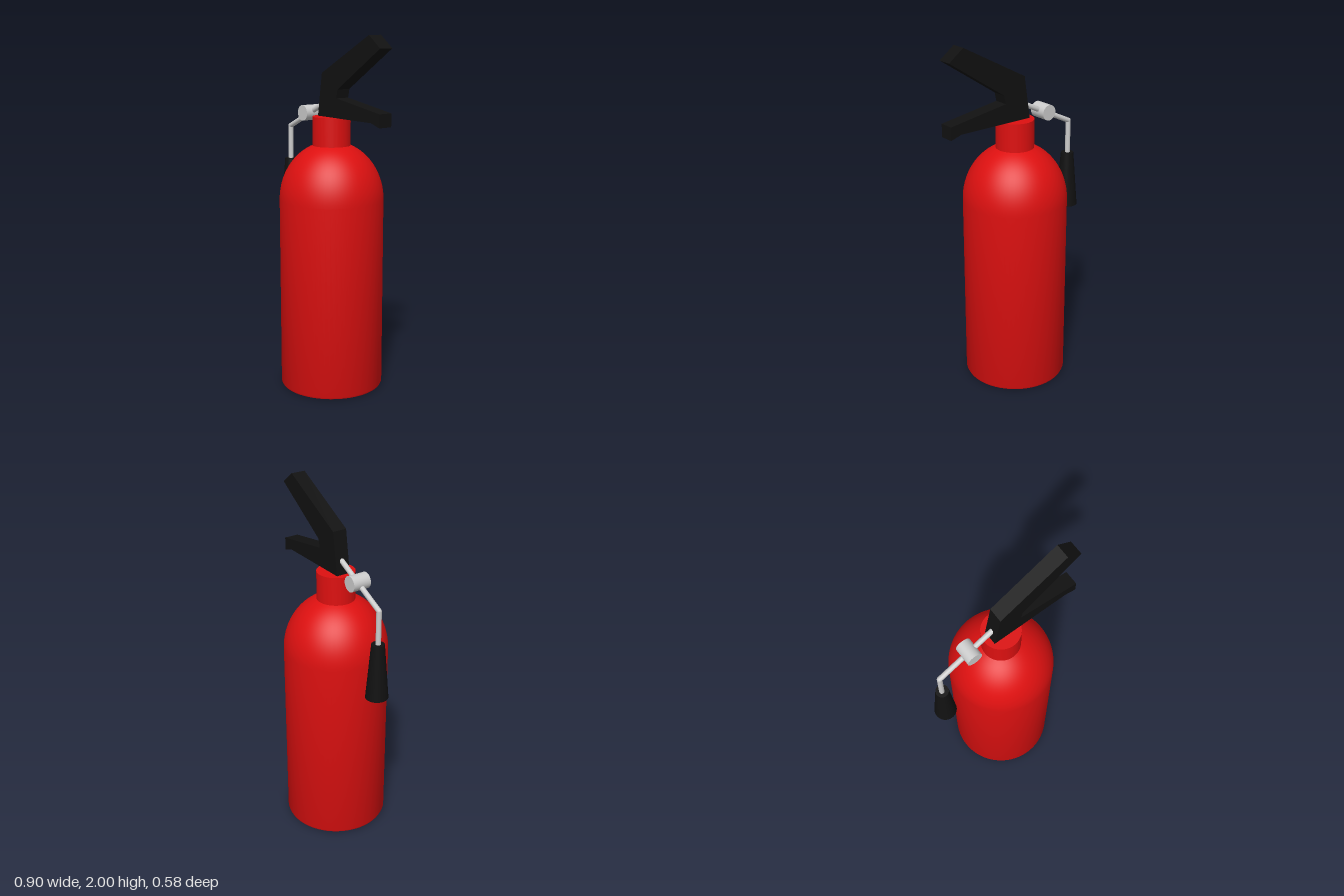
import * as THREE from 'three';
import { toCreasedNormals } from 'three/addons/utils/BufferGeometryUtils.js';

const red = new THREE.MeshStandardMaterial({ color: 0xdd1010 });
const black = new THREE.MeshStandardMaterial({ color: 0x111111 });
const grey = new THREE.MeshStandardMaterial({ color: 0xcccccc });

export function createModel() {
  const model = new THREE.Group();
  model.name = 'fireExtinguisher';

  const add = (name, geometry, material, x = 0, y = 0, z = 0) => {
    const mesh = new THREE.Mesh(geometry, material);
    mesh.name = name;
    mesh.position.set(x, y, z);
    model.add(mesh);
    return mesh;
  };

  // Round bar between two points in the z = 0 plane
  const bar = (name, a, b, radius) => {
    const from = new THREE.Vector3(...a, 0), to = new THREE.Vector3(...b, 0);
    const dir = to.clone().sub(from);
    const mesh = add(name, new THREE.CylinderGeometry(radius, radius, dir.length(), 20), grey);
    mesh.position.copy(from).addScaledVector(dir, 0.5);
    mesh.quaternion.setFromUnitVectors(new THREE.Vector3(0, 1, 0), dir.normalize());
  };

  // Tank: flat base with a small bevel, straight wall, domed shoulder, neck
  const R = 0.292, neckR = 0.106, domeY = 1.09, domeH = 0.325;
  const profile = [[0, 0], [R - 0.016, 0], [R - 0.005, 0.005], [R, 0.016]];
  const end = Math.acos(neckR / R);
  for (let i = 0; i <= 20; i++) {
    const t = (end * i) / 20;
    profile.push([R * Math.cos(t), domeY + domeH * Math.sin(t)]);
  }
  profile.push([neckR, 1.553], [0, 1.553]);
  const tank = new THREE.LatheGeometry(profile.map(p => new THREE.Vector2(...p)), 64);
  add('tank', toCreasedNormals(tank, 0.6), red);

  // Lever and carrying handle: one side outline, extruded
  const outline = [
    [-0.07, 1.553], [-0.034, 1.79], [0.362, 2], [0.45, 1.934], [0.105, 1.708],
    [0.094, 1.66], [0.45, 1.604], [0.45, 1.532], [0.384, 1.553],
  ];
  const depth = 0.082;
  const handle = new THREE.ExtrudeGeometry(
    new THREE.Shape(outline.map(p => new THREE.Vector2(...p))),
    { depth, bevelEnabled: false });
  add('handle', handle, black, 0, 0, -depth / 2);

  // Bent discharge pipe
  const pipeR = 0.0145, elbow = [-0.39, 1.465];
  bar('pipeUpper', [-0.03, 1.638], elbow, pipeR);
  bar('pipeLower', elbow, [-0.39, 1.26], pipeR);
  add('pipeElbow', new THREE.SphereGeometry(pipeR, 20, 12), grey, ...elbow);

  // Round valve across the pipe
  const valve = add('valve', new THREE.CylinderGeometry(0.044, 0.044, 0.105, 32), grey, -0.201, 1.558);
  valve.rotation.x = Math.PI / 2;

  // Flared nozzle
  add('nozzle', new THREE.CylinderGeometry(0.036, 0.063, 0.32, 32), black, -0.388, 1.115);

  return model;
}
